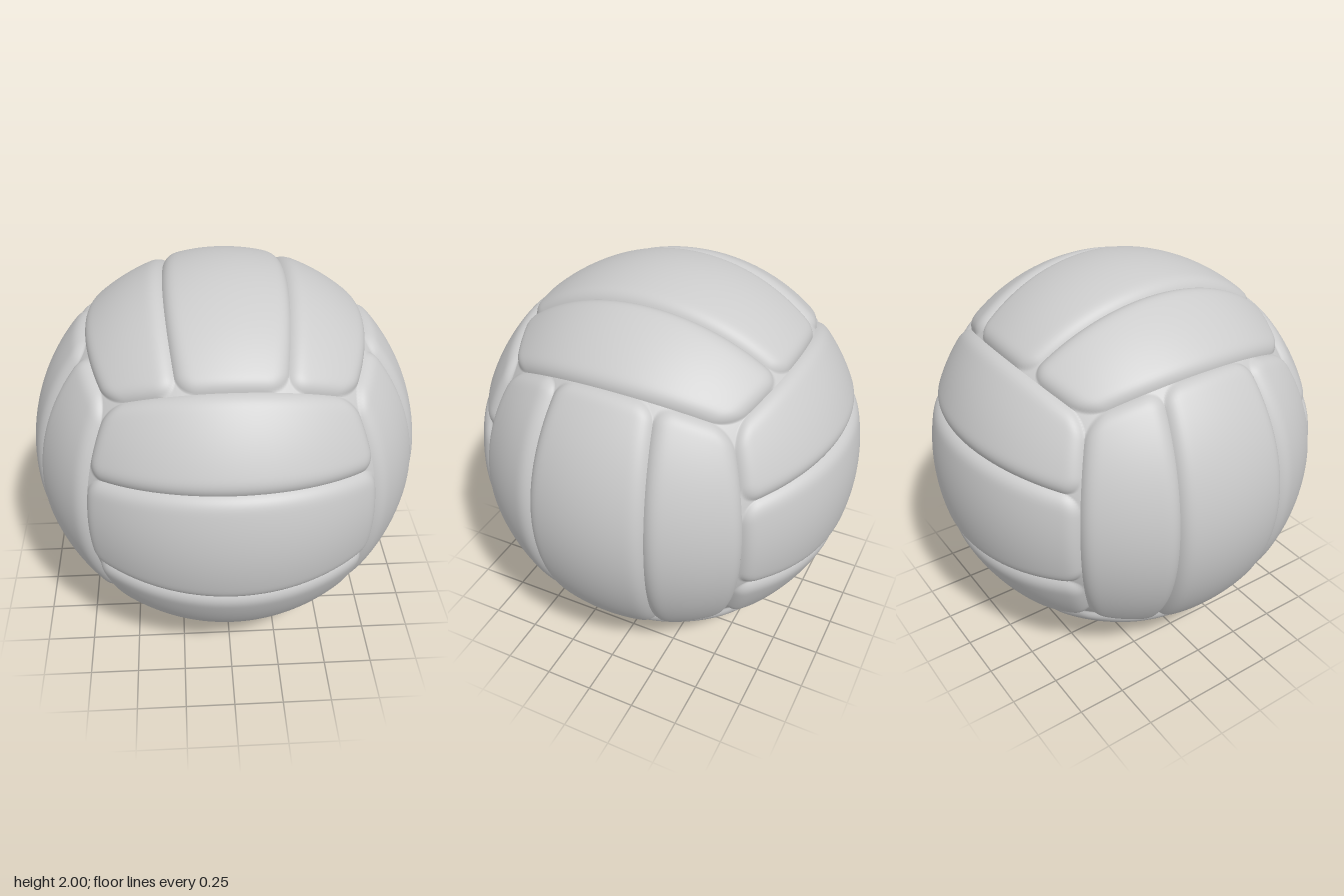
import * as THREE from 'three';

const R = 1, DEPTH = 0.03, FILLET = 0.09;
const NU = 56, NV = 30;

// Packs grid lines closer together near both ends, where the panel edge rolls over
const ease = s => s - 0.75 * Math.sin(2 * Math.PI * s) / (2 * Math.PI);

// Seam between neighbouring strips, in cube-face coordinates
const seam = u => 0.326 + 0.04 * u * u;

// Lower and upper limits of the three strips on a face
const strips = [
  { name: 'lowerStrip', lo: () => -1, hi: u => -seam(u) },
  { name: 'middleStrip', lo: u => -seam(u), hi: seam },
  { name: 'upperStrip', lo: seam, hi: () => 1 },
];

// One padded strip projected onto the ball, sinking into the seams at its border
function panelGeometry(strip, normal, along, across) {
  const positions = [], index = [];
  const p = new THREE.Vector3();
  for (let j = 0; j <= NV; j++) {
    for (let i = 0; i <= NU; i++) {
      const u = Math.tan((ease(i / NU) * 2 - 1) * Math.PI / 4);
      const lo = strip.lo(u), hi = strip.hi(u);
      const a0 = Math.atan(lo), a1 = Math.atan(hi);
      const v = Math.tan(a0 + (a1 - a0) * ease(j / NV));
      p.copy(normal).addScaledVector(along, u).addScaledVector(across, v);
      const len = p.length();
      // Distances to the strip's ends and long sides
      const dist = (gap, edge) => Math.max(0, gap) / (len * Math.hypot(1, edge));
      const du = dist(1 - Math.abs(u), 1);
      const dv = Math.min(dist(v - lo, lo), dist(hi - v, hi));
      const q = Math.min(1, Math.hypot(Math.max(0, 1 - du / FILLET), Math.max(0, 1 - dv / FILLET)));
      p.setLength(R - DEPTH * q ** 3);
      positions.push(p.x, p.y, p.z);
      if (i < NU && j < NV) {
        const a = j * (NU + 1) + i, b = a + 1, c = a + NU + 1, d = c + 1;
        index.push(a, b, d, a, d, c);
      }
    }
  }
  const geometry = new THREE.BufferGeometry();
  geometry.setAttribute('position', new THREE.Float32BufferAttribute(positions, 3));
  geometry.setIndex(index);
  geometry.computeVertexNormals();
  return geometry;
}

export function createModel() {
  const ball = new THREE.Group();
  ball.name = 'ball';
  const material = new THREE.MeshStandardMaterial({ color: 0xcccccc, roughness: 0.7 });
  const axes = [new THREE.Vector3(1, 0, 0), new THREE.Vector3(0, 1, 0), new THREE.Vector3(0, 0, 1)];
  const names = [['leftFace', 'rightFace'], ['topFace', 'bottomFace'], ['frontFace', 'backFace']];

  // Six faces of three strips; the strip direction turns from face to face
  for (let k = 0; k < 3; k++) {
    [1, -1].forEach((sign, side) => {
      const face = new THREE.Group();
      face.name = names[k][side];
      const normal = axes[k].clone().multiplyScalar(sign);
      const along = axes[(k + 1) % 3].clone().multiplyScalar(sign);
      const across = axes[(k + 2) % 3];
      for (const strip of strips) {
        const mesh = new THREE.Mesh(panelGeometry(strip, normal, along, across), material);
        mesh.name = strip.name;
        face.add(mesh);
      }
      ball.add(face);
    });
  }
  ball.position.y = R;

  const model = new THREE.Group();
  model.name = 'volleyball';
  model.add(ball);
  return model;
}
